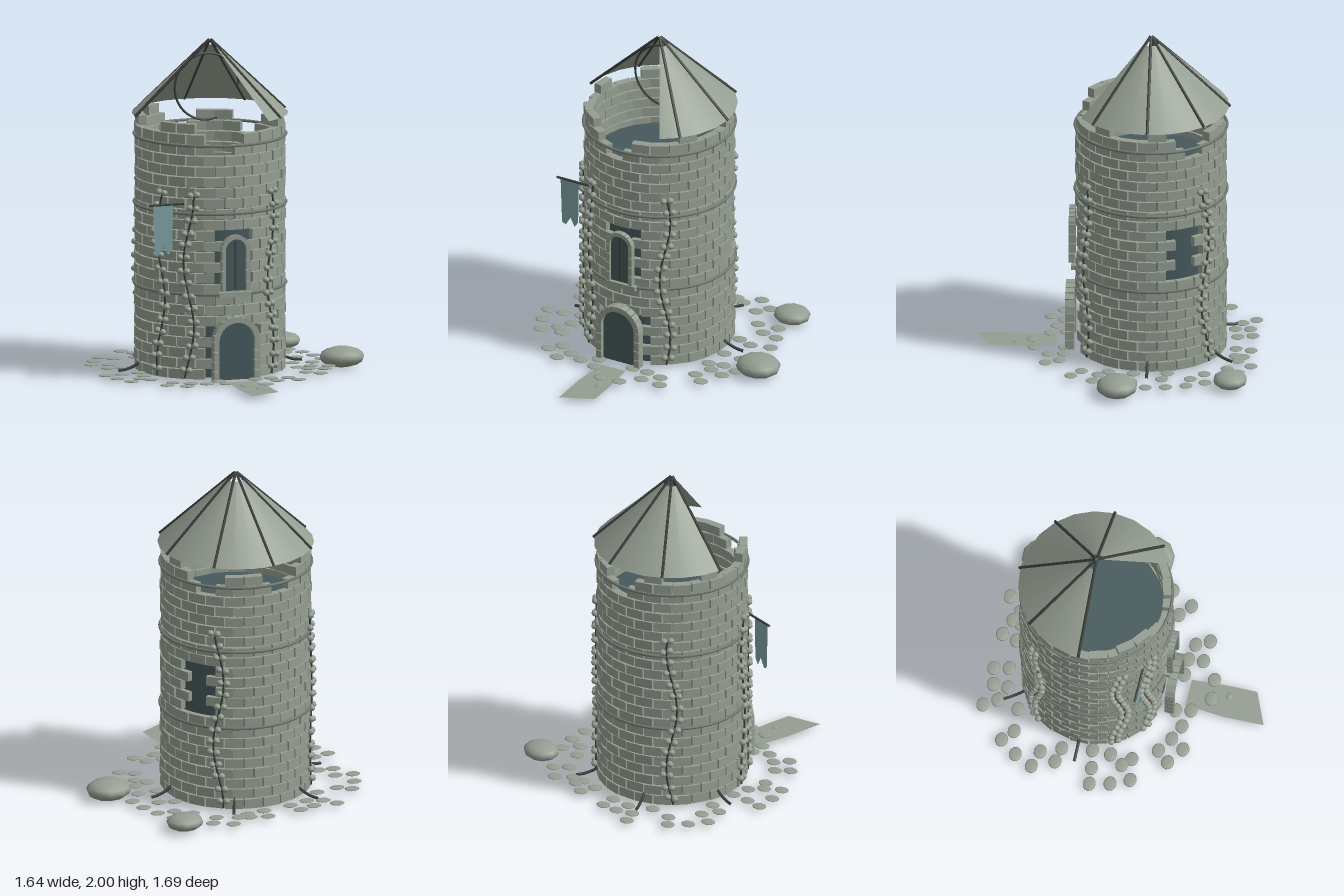
import * as THREE from 'three';

const CX = -0.09, CZ = -0.2, DEG = Math.PI / 180;

const mat = (name, color, side = THREE.FrontSide) => {
  const m = new THREE.MeshStandardMaterial({ color, side });
  m.name = name;
  return m;
};

// Small seeded generator for slight irregularities
let seed = 7;
const rnd = () => (seed = (seed * 16807) % 2147483647) / 2147483647;

// Point around the tower axis: angle in degrees from the front, turning to +x
const around = (deg, r, y) => new THREE.Vector3(CX + r * Math.sin(deg * DEG), y, CZ + r * Math.cos(deg * DEG));

export function createModel() {
  const root = new THREE.Group();
  root.name = 'ruinedTower';
  const stone = mat('stone', 0x959e92);
  const roofMat = mat('roofSlate', 0x959e92, THREE.DoubleSide);
  const trim = mat('trim', 0x737b71);
  const timber = mat('timber', 0x3c403b);
  const dark = mat('darkInterior', 0x46595c, THREE.DoubleSide);
  const cloth = mat('cloth', 0x80a4a6, THREE.DoubleSide);

  const add = (name, geo, m, pos = [0, 0, 0], parent = root) => {
    const mesh = new THREE.Mesh(geo, m);
    mesh.name = name;
    mesh.position.set(...pos);
    parent.add(mesh);
    return mesh;
  };
  const group = (name) => {
    const g = new THREE.Group();
    g.name = name;
    root.add(g);
    return g;
  };
  const rod = (name, pts, r, parent = root, segs = 1) =>
    add(name, new THREE.TubeGeometry(new THREE.CatmullRomCurve3(pts), segs, r, 6), timber, [0, 0, 0], parent);

  // Dark core behind the masonry
  add('core', new THREE.CylinderGeometry(0.415, 0.415, 1.17, 48), dark, [CX, 0.615, CZ]);

  // Brick courses, with gaps for openings and the broken top
  const bricks = group('bricks');
  const ROWS = 24, PER = 24, STEP = 0.0643, pitch = 360 / PER;
  const brickGeo = new THREE.BoxGeometry(0.108, 0.057, 0.048);
  const near = (a, c, w) => Math.abs(((a - c + 540) % 360) - 180) < w;
  const missing = (i, a) => {
    const y = 0.055 + i * STEP;
    if (y < 0.36 && near(a, 0, 17)) return true;
    if (y > 0.58 && y < 0.9 && near(a, 0, 14)) return true;
    if (y > 0.58 && y < 0.92 && near(a, 120, 9)) return true;
    if (i === 21) return near(a, -8, 7.6) || near(a, 187, 7.6) || near(a, 124, 7);
    if (i === 22) return near(a, -3, 18) || near(a, 183, 18) || near(a, 124, 12);
    if (i === 23) return near(a, -3, 26) || near(a, 183, 26) || near(a, 122, 22) || near(a, 240, 16)
      || near(a, 32, 7) || near(a, 75, 9) || near(a, 285, 15) || near(a, 330, 7);
    return false;
  };
  for (let i = 0; i < ROWS; i++) {
    for (let k = 0; k < PER; k++) {
      const a = (k + (i % 2) * 0.5) * pitch;
      const jitter = (rnd() - 0.5) * 0.008;
      if (missing(i, a)) continue;
      const b = add('brick', brickGeo, stone, around(a, 0.421 + jitter, 0.052 + i * STEP).toArray(), bricks);
      b.rotation.y = a * DEG;
    }
  }

  // Horizontal trim rings
  for (const y of [0.535, 1.02, 1.43]) {
    const ring = add('trimRing', new THREE.TorusGeometry(0.451, 0.009, 6, 48), trim, [CX, y, CZ]);
    ring.rotation.x = Math.PI / 2;
  }

  // Broken conical roof with rafters
  add('roof', new THREE.CylinderGeometry(0.05, 0.465, 0.397, 16, 1, true, 30 * DEG, 240 * DEG),
    roofMat, [CX, 1.7535, CZ]);
  const rafters = group('rafters');
  for (let a = 45; a <= 270; a += 45)
    rod('rafter', [around(a, 0.47, 1.555), around(a, 0.004, 1.995)], 0.009, rafters);
  add('brokenHoop', new THREE.TorusGeometry(0.2, 0.007, 6, 40, Math.PI * 1.6), timber, [CX, 1.7, -0.26]);

  // Arched opening: flat panel framed by wedge stones
  const arch = (name, half, bottom, top, frame, z, depth) => {
    const g = group(name);
    const spring = top - half;
    const inner = half - frame;
    const s = new THREE.Shape();
    s.moveTo(-inner, bottom);
    s.lineTo(inner, bottom);
    s.lineTo(inner, spring);
    s.absarc(0, spring, inner, 0, Math.PI);
    s.closePath();
    add('panel', new THREE.ShapeGeometry(s, 20), dark, [CX, 0, z + depth * 0.4], g);
    const mid = half - frame / 2, n = 11;
    const wedge = new THREE.BoxGeometry(frame, mid * Math.PI / n * 1.02, depth);
    for (let k = 0; k < n; k++) {
      const t = (k + 0.5) / n * Math.PI;
      const w = add('archStone', wedge, stone, [CX + mid * Math.cos(t), spring + mid * Math.sin(t), z + depth / 2], g);
      w.rotation.z = t;
    }
    const count = Math.round((spring - bottom) / 0.06), h = (spring - bottom) / count;
    for (const side of [-1, 1])
      for (let k = 0; k < count; k++)
        add('jambStone', new THREE.BoxGeometry(frame, h - 0.004, depth), stone,
          [CX + side * mid, bottom + (k + 0.5) * h, z + depth / 2], g);
    return g;
  };
  arch('door', 0.145, 0.025, 0.405, 0.034, 0.25, 0.055);
  const win = arch('window', 0.088, 0.56, 0.895, 0.024, 0.25, 0.035);
  add('mullion', new THREE.BoxGeometry(0.008, 0.29, 0.008), timber, [CX, 0.715, 0.27], win);
  add('sill', new THREE.BoxGeometry(0.2, 0.03, 0.05), stone, [CX, 0.535, 0.245], win);

  // Banner on a short pole
  rod('bannerPole', [new THREE.Vector3(-0.59, 1.08, 0.15), new THREE.Vector3(-0.37, 1.08, 0.15)], 0.007);
  const flag = new THREE.Shape([[-0.565, 1.08], [-0.44, 1.08], [-0.445, 0.81], [-0.47, 0.775],
    [-0.497, 0.83], [-0.53, 0.775], [-0.555, 0.79]].map(p => new THREE.Vector2(...p)));
  add('banner', new THREE.ShapeGeometry(flag), cloth, [0, 0, 0.15]);

  // Climbing vines with paired round leaves
  const leafGeo = new THREE.SphereGeometry(0.021, 8, 6);
  [34, 138, 232, 301, 325].forEach((a, v) => {
    const g = group('vine');
    const at = (y, r) => around(a + 4 * Math.sin(y * 8 + v * 1.3), r, y);
    const pts = Array.from({ length: 16 }, (_, k) => at(0.03 + k * 0.073, 0.452));
    rod('vineStem', pts, 0.006, g, 40);
    for (let k = 0; k < 15; k++) {
      const y = 0.075 + k * 0.0755;
      for (const side of [-1, 1]) {
        const p = at(y, 0.458);
        p.x += side * 0.021 * Math.cos(a * DEG);
        p.z -= side * 0.021 * Math.sin(a * DEG);
        p.y += (rnd() - 0.5) * 0.016;
        add('leaf', leafGeo, stone, p.toArray(), g).scale.set(1, 0.9, 1);
      }
    }
  });

  // Roots spreading from the foot of the wall
  for (const a of [90, 150, 210, 270])
    rod('root', [around(a, 0.43, 0.08), around(a, 0.47, 0.055), around(a, 0.52, 0.037), around(a, 0.575, 0.03)],
      0.009, root, 10);

  // Paving stones scattered around the base, as x, z pairs
  const paving = group('pavingStones');
  const spots = [
    0.36, -0.74, 0.26, -0.81, 0.3, -0.67, 0.18, -0.73, 0.02, -0.8, 0.12, -0.76, 0, -0.71, 0.11, -0.71,
    0.39, -0.54, 0.52, -0.55, 0.47, -0.46, 0.57, -0.44, 0.39, -0.32, 0.48, -0.29, 0.6, -0.32, 0.61, -0.2,
    0.4, -0.12, 0.52, -0.11, 0.38, 0.03, 0.47, 0.01, 0.57, 0.04, 0.43, 0.09, 0.52, 0.12, 0.38, 0.19, 0.45, 0.25,
    0.22, 0.33, 0.26, 0.41, 0.12, 0.31, 0.13, 0.4, 0.03, 0.49, -0.09, 0.5, 0.02, 0.31,
    -0.48, 0.27, -0.54, 0.34, -0.44, 0.41, -0.39, 0.33, -0.3, 0.37, -0.19, 0.4, -0.21, 0.31,
    -0.57, 0.13, -0.7, 0.15, -0.62, 0.08, -0.75, 0.04, -0.57, 0, -0.68, -0.09, -0.78, -0.08, -0.57, -0.11,
    -0.6, -0.29, -0.69, -0.31, -0.65, -0.41, -0.75, -0.44, -0.7, -0.55, -0.56, -0.59, -0.63, -0.65,
    -0.42, -0.6, -0.39, -0.73, -0.44, -0.81, -0.3, -0.78, -0.3, -0.69, -0.2, -0.8, -0.18, -0.71];
  const slabGeo = new THREE.SphereGeometry(1, 12, 6);
  for (let i = 0; i < spots.length; i += 2)
    add('pavingStone', slabGeo, stone, [spots[i], 0.029, spots[i + 1]], paving).scale.set(0.046, 0.006, 0.039);
  add('pebble', slabGeo, stone, [-0.05, 0.029, 0.6], paving).scale.set(0.024, 0.005, 0.017);

  // Flat path leading to the door
  const path = new THREE.Shape([[-0.165, -0.36], [-0.185, -0.6], [-0.18, -0.84], [0.015, -0.755],
    [0.015, -0.6], [0, -0.36]].map(p => new THREE.Vector2(...p)));
  add('path', new THREE.ShapeGeometry(path), roofMat, [0, 0.028, 0]).rotation.x = -Math.PI / 2;

  // Boulders
  const boulderGeo = new THREE.SphereGeometry(1, 10, 8);
  add('boulder', boulderGeo, stone, [0.68, 0.065, -0.035]).scale.set(0.138, 0.062, 0.124);
  add('boulder', boulderGeo, stone, [0.53, 0.057, -0.7]).scale.set(0.114, 0.05, 0.102);

  return root;
}
